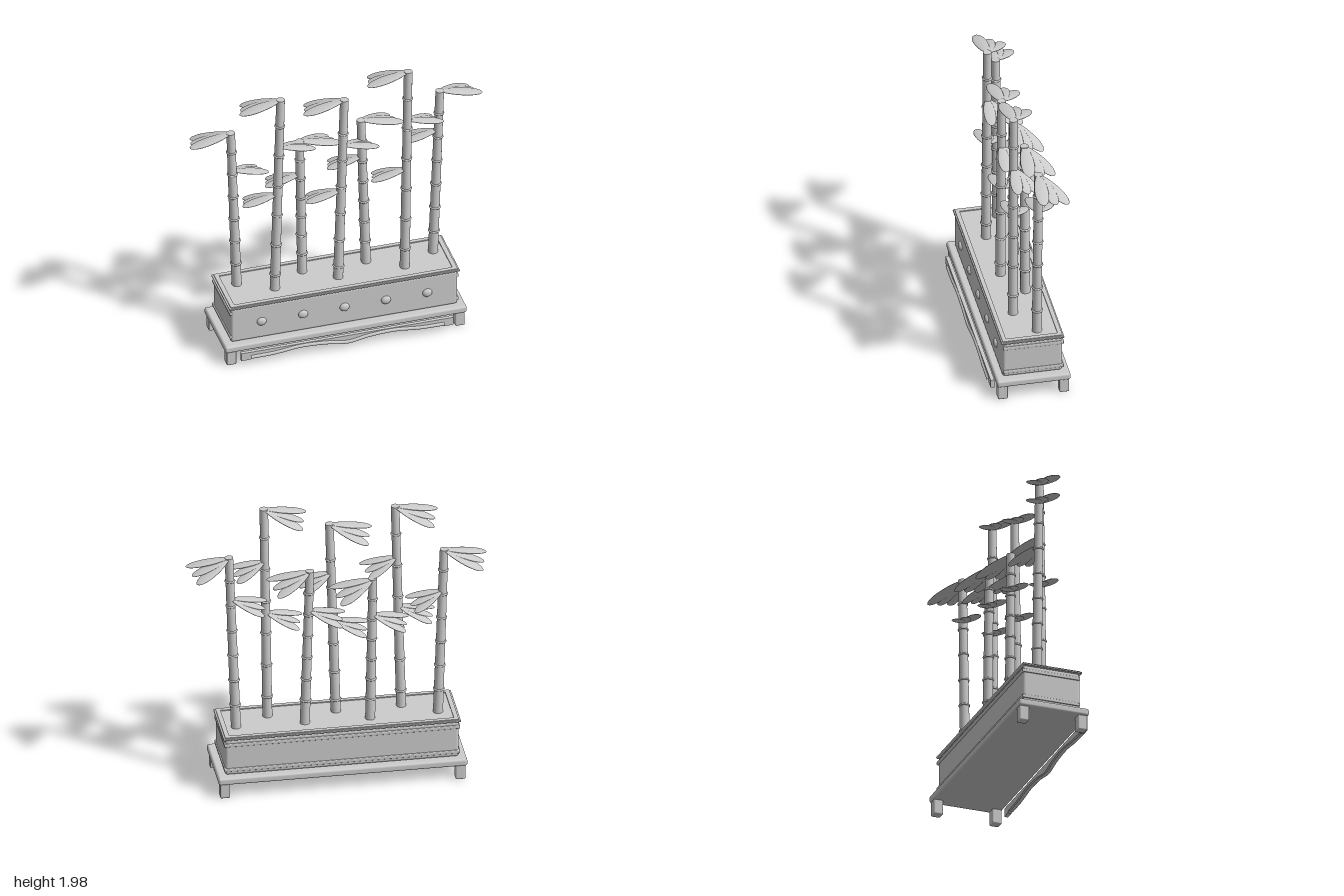
import * as THREE from 'three';
import { RoundedBoxGeometry } from 'three/addons/geometries/RoundedBoxGeometry.js';

const CX = -0.016, CZ = -0.02; // centre of the planter
const clay = new THREE.MeshStandardMaterial({ color: 0xcccccc });
clay.name = 'pale grey';

function add(parent, name, geo, x = 0, y = 0, z = 0) {
  const mesh = new THREE.Mesh(geo, clay);
  mesh.name = name;
  mesh.position.set(x, y, z);
  parent.add(mesh);
  return mesh;
}

// Box with softened edges, given by its centre, bottom and top
function slab(parent, name, w, d, y0, y1, r, x = CX, z = CZ) {
  return add(parent, name, new RoundedBoxGeometry(w, y1 - y0, d, 3, r), x, (y0 + y1) / 2, z);
}

// Unit leaf along +x, narrow at the stem and full towards the tip
function leafGeometry() {
  const g = new THREE.SphereGeometry(0.5, 20, 14);
  g.rotateZ(-Math.PI / 2);
  const p = g.attributes.position;
  for (let i = 0; i < p.count; i++) {
    const t = p.getX(i) + 0.5;
    const k = 0.72 + 0.34 * t;
    p.setXYZ(i, t, p.getY(i) * 0.065, p.getZ(i) * 0.35 * k);
  }
  g.computeVertexNormals();
  return g;
}
const leafGeo = leafGeometry();

// Fan of three drooping leaves pointing to one side (+1 or -1) and backwards
function leafCluster(parent, side, size, x, y, z) {
  const fan = new THREE.Group();
  fan.name = 'leafCluster';
  fan.position.set(x, y, z);
  for (const [yaw, droop, len] of [[-4, 10, 1], [15, 16, 0.95], [33, 19, 1.02]]) {
    const leaf = add(fan, 'leaf', leafGeo);
    const a = THREE.MathUtils.degToRad(yaw);
    leaf.rotation.order = 'YXZ';
    leaf.rotation.y = side > 0 ? a : Math.PI - a;
    leaf.rotation.z = -THREE.MathUtils.degToRad(droop);
    leaf.scale.setScalar(size * len);
  }
  parent.add(fan);
}

function createStand(root) {
  const stand = new THREE.Group();
  stand.name = 'stand';
  slab(stand, 'standTop', 1.65, 0.49, 0.1, 0.15, 0.015);
  for (const sx of [-1, 1]) for (const sz of [-1, 1])
    slab(stand, 'foot', 0.065, 0.065, 0, 0.105, 0.008, CX + sx * 0.78, CZ + sz * 0.205);

  // Apron with a wavy lower edge
  const wave = [[-0.66, 0.062], [-0.5, 0.065], [-0.32, 0.083], [-0.15, 0.075], [0, 0.052],
    [0.15, 0.075], [0.32, 0.083], [0.5, 0.065], [0.66, 0.062]];
  const s = new THREE.Shape();
  s.moveTo(-0.725, 0.1);
  s.lineTo(-0.725, 0.042);
  s.lineTo(-0.66, 0.042);
  s.lineTo(-0.65, 0.055);
  s.splineThru(wave.slice(1, -1).map(([x, y]) => new THREE.Vector2(x, y - 0.005)));
  s.lineTo(0.65, 0.055);
  s.lineTo(0.66, 0.042);
  s.lineTo(0.725, 0.042);
  s.lineTo(0.725, 0.1);
  add(stand, 'apron', new THREE.ExtrudeGeometry(s, { depth: 0.025, bevelEnabled: false, curveSegments: 40 }), CX, 0, 0.225);
  const path = new THREE.CatmullRomCurve3(wave.map(([x, y]) => new THREE.Vector3(x, y, 0)));
  add(stand, 'apronBead', new THREE.TubeGeometry(path, 80, 0.013, 10), CX, 0, 0.25);
  root.add(stand);
}

function createPlanter(root) {
  const planter = new THREE.Group();
  planter.name = 'planter';
  slab(planter, 'planterBody', 1.55, 0.4, 0.15, 0.415, 0.02);
  // Low mouldings round the sides and back
  for (const y of [0.19, 0.375])
    slab(planter, 'moulding', 1.565, 0.405, y - 0.012, y + 0.012, 0.006, CX, CZ - 0.006);
  slab(planter, 'rim', 1.575, 0.42, 0.412, 0.425, 0.005);
  // Raised lip framing the soil
  const lip = new THREE.Shape();
  const rect = (p, w, d) => {
    p.moveTo(-w, -d); p.lineTo(w, -d); p.lineTo(w, d); p.lineTo(-w, d); p.closePath();
    return p;
  };
  rect(lip, 0.775, 0.2);
  lip.holes.push(rect(new THREE.Path(), 0.745, 0.172));
  const lipGeo = new THREE.ExtrudeGeometry(lip, { depth: 0.008, bevelEnabled: false });
  lipGeo.rotateX(-Math.PI / 2);
  add(planter, 'lip', lipGeo, CX, 0.424, CZ);
  // Round studs along the front
  for (let i = -2; i <= 2; i++)
    add(planter, 'stud', new THREE.SphereGeometry(1, 24, 16), CX + i * 0.283, 0.283, 0.182).scale.set(0.033, 0.03, 0.018);
  root.add(planter);
}

// base x, top x, top y, z, first node y, node spacing, top leaf side, lower clusters [side, y]
const STALKS = [
  [-0.674, -0.715, 1.64, -0.08, 1.487, 0.178, -1, [[1, 1.335]]],
  [-0.45, -0.41, 1.925, 0.04, 1.717, 0.235, -1, [[-1, 1.175], [1, 1.545]]],
  [-0.222, -0.24, 1.47, -0.095, 1.32, 0.149, 1, [[-1, 1.205]]],
  [-0.016, 0.027, 1.835, 0.035, 1.567, 0.21, -1, [[-1, 1.115], [1, 1.47]]],
  [0.21, 0.176, 1.56, -0.085, 1.396, 0.16, 1, [[-1, 1.27]]],
  [0.436, 0.46, 1.98, 0.045, 1.765, 0.238, -1, [[-1, 1.205], [1, 1.59]]],
  [0.663, 0.71, 1.7, -0.068, 1.524, 0.186, 1, [[-1, 1.39]]],
];

function createStalk([x0, x1, top, z, firstNode, gap, side, lower]) {
  const stalk = new THREE.Group();
  stalk.name = 'bambooStalk';
  const y0 = 0.415, h = top - y0;
  const xAt = (y) => x0 + (x1 - x0) * (y - y0) / h;
  const lean = -Math.atan2(x1 - x0, h);
  const stem = add(stalk, 'stem', new THREE.CylinderGeometry(0.028, 0.033, h, 24), (x0 + x1) / 2, (y0 + top) / 2, z);
  stem.rotation.z = lean;
  // Swollen rings between the segments
  for (let y = firstNode; y > y0 + 0.03; y -= gap) {
    const r = 0.033 - 0.005 * (y - y0) / h;
    const ring = new THREE.TorusGeometry(r, 0.007, 8, 24);
    ring.rotateX(Math.PI / 2);
    add(stalk, 'node', ring, xAt(y), y, z).rotation.z = lean;
  }
  leafCluster(stalk, side, 0.29, x1, top - 0.004, z);
  for (const [s, y] of lower) leafCluster(stalk, s, 0.25, xAt(y), y, z);
  return stalk;
}

export function createModel() {
  const root = new THREE.Group();
  root.name = 'bambooPlanter';
  createStand(root);
  createPlanter(root);
  for (const data of STALKS) root.add(createStalk(data));
  return root;
}
